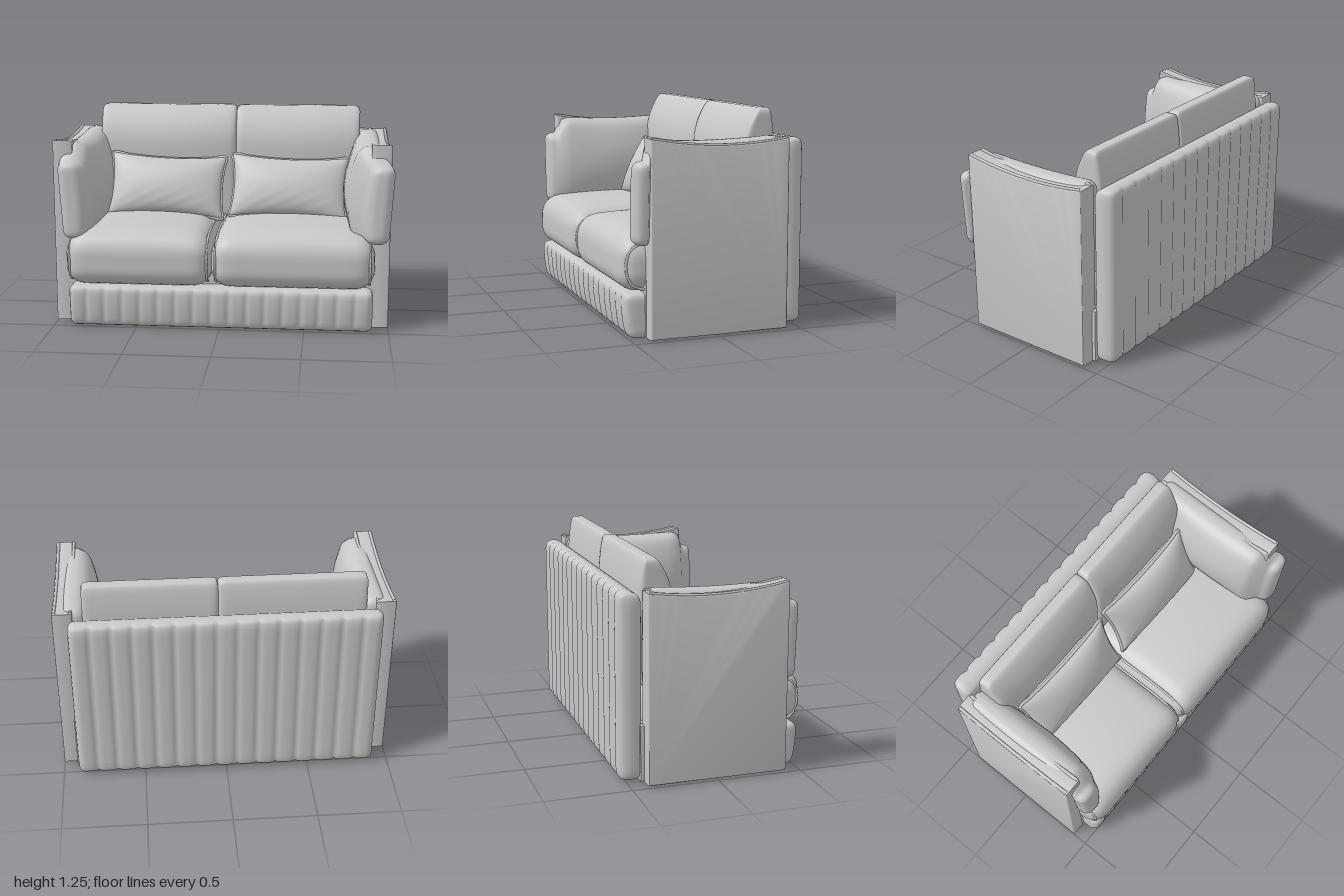
import * as THREE from 'three';
import { mergeVertices, toCreasedNormals } from 'three/addons/utils/BufferGeometryUtils.js';

const fabric = new THREE.MeshStandardMaterial({ color: 0xc8c8c8 });
fabric.name = 'light grey fabric';

function addMesh(parent, name, geometry, x = 0, y = 0, z = 0) {
  const mesh = new THREE.Mesh(geometry, fabric);
  mesh.name = name;
  mesh.position.set(x, y, z);
  parent.add(mesh);
  return mesh;
}

// Weld the grid so that normals are smooth across the whole cushion
function smooth(geometry) {
  geometry.deleteAttribute('uv');
  geometry.deleteAttribute('normal');
  const g = mergeVertices(geometry, 1e-5);
  g.computeVertexNormals();
  return g;
}

// Rounded box on a fine grid, reshaped by rule(v, u), u being -1..1 on each axis
function softBox(size, r, rule, div = [22, 22, 22]) {
  const g = new THREE.BoxGeometry(2, 2, 2, ...div);
  const pos = g.attributes.position;
  const half = new THREE.Vector3(...size).multiplyScalar(0.5);
  const inner = half.clone().subScalar(r);
  const outer = inner.clone().negate();
  const v = new THREE.Vector3();
  const ease = (t, n) => (n > 40 ? t : Math.sin((t * Math.PI) / 2));
  for (let i = 0; i < pos.count; i++) {
    v.fromBufferAttribute(pos, i);
    v.set(ease(v.x, div[0]), ease(v.y, div[1]), ease(v.z, div[2])).multiply(half);
    const core = v.clone().clamp(outer, inner);
    v.sub(core).setLength(r).add(core);
    rule(v, v.clone().divide(half));
    pos.setXYZ(i, v.x, v.y, v.z);
  }
  return smooth(g);
}

const dome = (a, b) => Math.max(0, 1 - a * a) * Math.max(0, 1 - b * b);

function piping(points, radius, closed) {
  const curve = new THREE.CatmullRomCurve3(points, closed, 'centripetal');
  return new THREE.TubeGeometry(curve, closed ? 96 : 32, radius, 6, closed);
}

// Vertical channels sewn into one z face of a panel
function flutes(count, side, depth) {
  return (v, u) => {
    if (u.z * side < 0.3) return;
    const groove = Math.pow(1 - Math.abs(Math.sin((u.x + 1) * 0.5 * Math.PI * count)), 2);
    v.z -= side * depth * groove;
  };
}

// Outer arm panel with a sagging top edge
function armPanel() {
  const s = new THREE.Shape();
  s.moveTo(-0.4, 0.02);
  s.lineTo(0.4, 0.02);
  s.lineTo(0.4, 1.1);
  s.quadraticCurveTo(0, 1.02, -0.4, 1.085);
  s.closePath();
  const g = new THREE.ExtrudeGeometry(s, {
    depth: 0.1, bevelThickness: 0.009, bevelSize: 0.009, bevelSegments: 3, curveSegments: 20,
  });
  g.translate(0, 0, -0.05).rotateY(-Math.PI / 2);
  return toCreasedNormals(g, 0.7);
}

// Bulging pad inside the arm, its lower nose reaching past the panel
function armPad(side) {
  const noseShift = side > 0 ? 0.07 : 0.015;
  return softBox([0.14, 0.56, 0.89], 0.06, (v, u) => {
    const nose = THREE.MathUtils.smoothstep(u.z, 0.72, 0.86);
    const up = (u.y + 1) / 2;
    v.y += up * (0.02 * u.z * u.z - 0.11 * nose);
    if (u.x * side < 0) v.x -= side * 0.075 * dome(u.y, u.z * 0.9);
    v.x += side * (noseShift * nose + 0.03 * (up - 0.5));
  });
}

// Outline of a throw pillow, t around the rim
const rimPoint = (a, b) => new THREE.Vector3(
  0.365 * a * (1 - 0.06 * (1 - b * b)), 0.2 * b * (1 - 0.13 * (1 - a * a)), 0);

function throwPillow(parent, name, x, roll) {
  const group = new THREE.Group();
  group.name = name;
  const g = new THREE.BoxGeometry(2, 2, 2, 32, 24, 2);
  const pos = g.attributes.position;
  for (let i = 0; i < pos.count; i++) {
    const a = Math.sin((pos.getX(i) * Math.PI) / 2);
    const b = Math.sin((pos.getY(i) * Math.PI) / 2);
    const p = rimPoint(a, b);
    // Soft creases fan out from the lower corners
    const crease = 0.004 * Math.sin(16 * (a - b)) * Math.max(0, -b) * dome(a, b);
    const thick = 0.006 + 0.088 * Math.pow(dome(a, b), 0.45) + crease;
    pos.setXYZ(i, p.x, p.y, pos.getZ(i) * thick);
  }
  addMesh(group, 'pillowBody', smooth(g));
  const rim = [];
  const corners = [[-1, -1], [1, -1], [1, 1], [-1, 1]];
  corners.forEach(([a, b], k) => {
    const [c, d] = corners[(k + 1) % 4];
    for (let i = 0; i < 8; i++) rim.push(rimPoint(a + ((c - a) * i) / 8, b + ((d - b) * i) / 8));
  });
  addMesh(group, 'pillowPiping', piping(rim, 0.011, true));
  group.position.set(x, 0.76, -0.085);
  group.rotation.set(-0.42, 0, roll);
  parent.add(group);
}

export function createModel() {
  const sofa = new THREE.Group();
  sofa.name = 'sofa';

  // Frame and fluted panels
  addMesh(sofa, 'baseFrame', new THREE.BoxGeometry(1.84, 0.32, 0.84), 0, 0.175, -0.01);
  addMesh(sofa, 'frontPanel', softBox([1.81, 0.255, 0.22], 0.04, (v, u) => {
    if (u.z > 0) v.z += 0.012 * (1 - u.y * u.y) + 0.012 * (u.y - 0.6);
    flutes(17, 1, 0.012 * Math.max(0, 1 - Math.pow(u.y, 4)))(v, u);
  }, [136, 16, 8]), 0, 0.1275, 0.405);
  addMesh(sofa, 'backPanel', softBox([1.82, 1.07, 0.135], 0.045, (v, u) => {
    v.y -= 0.02 * Math.max(0, u.z) * Math.max(0, u.y);
    flutes(15, -1, 0.013)(v, u);
  }, [120, 20, 8]), 0, 0.55, -0.479);

  // Seat cushions
  [[-0.92, -0.05, 'rightSeatCushion'], [-0.05, 0.91, 'leftSeatCushion']].forEach(([x0, x1, name]) => {
    addMesh(sofa, name, softBox([x1 - x0, 0.3, 0.94], 0.11, (v, u) => {
      if (u.y > 0) v.y += 0.055 * Math.sqrt(dome(u.x, u.z)) * u.y;
      // Square up the ends seen from above and in front
      const end = Math.abs(u.x);
      if (end > 0.7) v.x += Math.sign(u.x) * 0.012 * (1 - u.y * u.y) * (end - 0.7);
    }), (x0 + x1) / 2, 0.405, 0.073);
    // Seam piping running over the front of each end
    for (const [x, s] of [[x0, 1], [x1, -1]]) {
      const path = [[0.265, 0.38], [0.3, 0.485], [0.4, 0.523], [0.5, 0.49], [0.543, 0.38], [0.55, 0], [0.55, -0.25]];
      addMesh(sofa, 'seatPiping', piping(path.map(([y, z]) => new THREE.Vector3(x + s * 0.026, y, z - 0.008)), 0.008, false));
    }
  });

  // Back cushions, tapering to a narrow top edge
  [[-0.83, 0.04, 'rightBackCushion'], [0.04, 0.825, 'leftBackCushion']].forEach(([x0, x1, name]) => {
    addMesh(sofa, name, softBox([x1 - x0, 0.72, 0.2], 0.035, (v, u) => {
      const t = THREE.MathUtils.clamp((v.y - 0.1) / 0.26, 0, 1);
      v.z = v.z * (1 - 0.62 * t * t) - 0.03 * t * t;
      if (u.z > 0) v.z += 0.025 * dome(u.x, u.y);
    }), (x0 + x1) / 2, 0.89, -0.308);
  });

  // Arms
  for (const side of [1, -1]) {
    const arm = new THREE.Group();
    arm.name = side > 0 ? 'leftArm' : 'rightArm';
    addMesh(arm, 'armPanel', armPanel(), side * 0.941);
    addMesh(arm, 'armPad', armPad(side), side * 0.868, 0.805, 0.05);
    for (const x of [0.987, 0.892]) {
      const edge = [];
      for (let i = 0; i <= 8; i++) {
        const t = i / 8, k = 1 - t;
        edge.push(new THREE.Vector3(side * x, k * k * 1.1 + 2 * k * t * 1.02 + t * t * 1.085 + 0.009, 0.4 - 0.8 * t));
      }
      addMesh(arm, 'armPiping', piping(edge, 0.01, false));
    }
    sofa.add(arm);
  }

  // Throw pillows leaning on the back
  throwPillow(sofa, 'rightThrowPillow', -0.385, -0.035);
  throwPillow(sofa, 'leftThrowPillow', 0.385, -0.03);

  return sofa;
}
